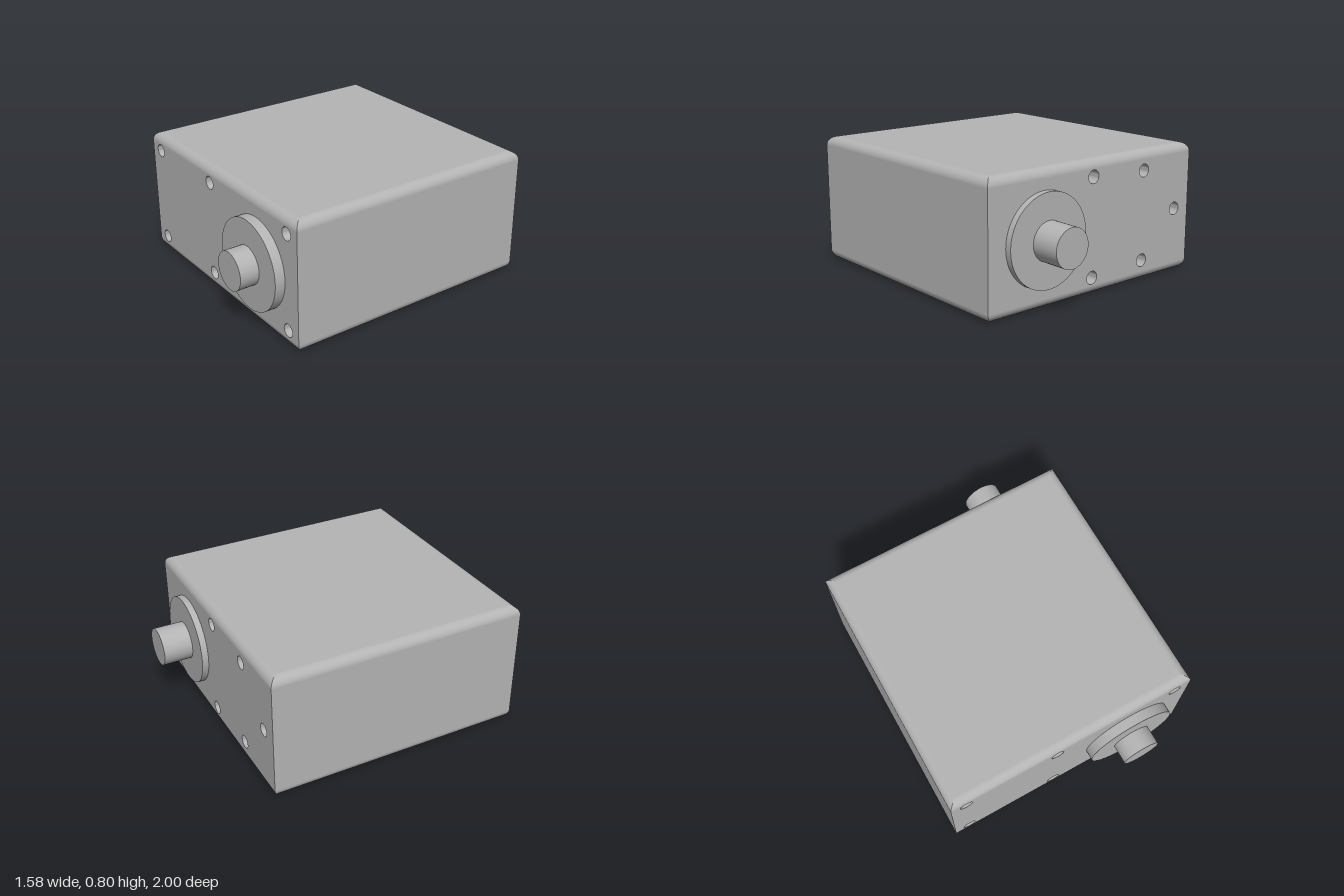
import * as THREE from 'three';
import { toCreasedNormals } from 'three/addons/utils/BufferGeometryUtils.js';

const HX = 0.792, HZ = 0.8, H = 0.797, R = 0.056; // housing half sizes, height, edge radius
const MID_Z = 0.02, HOLE_R = 0.04, HOLE_DEPTH = 0.1;
const AXIS_X = 0.395, AXIS_Y = H / 2;

// Quarter-round along one horizontal edge, mitred at both ends
function edgeRound(w, d, a0, centreY) {
  const pos = [], nor = [], idx = [], n = 10;
  for (let i = 0; i <= n; i++) {
    const a = a0 + (i / n) * Math.PI / 2, s = Math.sin(a), c = Math.cos(a);
    const inset = R * (1 - c);
    for (const side of [-1, 1]) {
      pos.push(side * (w - inset), centreY + R * s, d - inset);
      nor.push(0, s, c);
    }
    if (i < n) {
      const k = i * 2;
      idx.push(k, k + 1, k + 3, k, k + 3, k + 2);
    }
  }
  const g = new THREE.BufferGeometry();
  g.setAttribute('position', new THREE.Float32BufferAttribute(pos, 3));
  g.setAttribute('normal', new THREE.Float32BufferAttribute(nor, 3));
  g.setIndex(idx);
  return g;
}

export function createModel() {
  const metal = new THREE.MeshStandardMaterial({ color: 0xb4b4b4 });
  const model = new THREE.Group();
  model.name = 'gearbox';

  const add = (parent, name, geometry, x = 0, y = 0, z = 0) => {
    const mesh = new THREE.Mesh(geometry, metal);
    mesh.name = name;
    mesh.position.set(x, y, z);
    parent.add(mesh);
    return mesh;
  };

  // Blind bolt hole: inward-facing wall and floor
  const holeGeometry = toCreasedNormals(new THREE.LatheGeometry([
    new THREE.Vector2(HOLE_R, 0),
    new THREE.Vector2(HOLE_R, -HOLE_DEPTH),
    new THREE.Vector2(0, -HOLE_DEPTH),
  ], 32), 0.6).rotateX(Math.PI / 2);

  // One housing wall: flat panel with holes plus rounded top and bottom edges
  const housing = new THREE.Group();
  housing.name = 'housing';
  housing.position.z = MID_Z;
  model.add(housing);
  const wall = (name, w, d, turn, holes = []) => {
    const group = new THREE.Group();
    group.name = name;
    group.rotation.y = turn;
    housing.add(group);
    const shape = new THREE.Shape([
      new THREE.Vector2(-w, R), new THREE.Vector2(w, R),
      new THREE.Vector2(w, H - R), new THREE.Vector2(-w, H - R),
    ]);
    for (const [x, y] of holes) {
      shape.holes.push(new THREE.Path().absarc(x, y, HOLE_R, 0, Math.PI * 2, true));
      add(group, 'boltHole', holeGeometry, x, y, d);
    }
    add(group, 'panel', new THREE.ShapeGeometry(shape, 16), 0, 0, d);
    add(group, 'bottomEdge', edgeRound(w, d, -Math.PI / 2, R));
    add(group, 'topEdge', edgeRound(w, d, 0, H - R));
  };

  const frontHoles = [], backHoles = [[0.67, AXIS_Y]];
  for (const s of [-1, 1]) {
    for (const x of [-0.695, -0.1, 0.692]) frontHoles.push([x, AXIS_Y + s * 0.297]);
    // Back wall is turned around, so its x runs the other way
    backHoles.push([-0.025, AXIS_Y + s * 0.297], [0.39, AXIS_Y + s * 0.275]);
  }
  wall('frontWall', HX, HZ, 0, frontHoles);
  wall('backWall', HX, HZ, Math.PI, backHoles);
  wall('leftWall', HZ, HX, Math.PI / 2);
  wall('rightWall', HZ, HX, -Math.PI / 2);

  // Top and bottom panels
  const panel = new THREE.PlaneGeometry(2 * (HX - R), 2 * (HZ - R));
  add(housing, 'topPanel', panel, 0, H, 0).rotation.x = -Math.PI / 2;
  add(housing, 'bottomPanel', panel).rotation.x = Math.PI / 2;

  // Bearing flanges and shaft ends, lying along z
  const disc = (name, r, z0, z1) => add(model, name,
    new THREE.CylinderGeometry(r, r, z1 - z0, 72).rotateX(Math.PI / 2),
    AXIS_X, AXIS_Y, (z0 + z1) / 2);
  disc('frontFlange', 0.276, 0.81, 0.882);
  disc('backFlange', 0.276, -0.82, -0.77);
  disc('frontShaft', 0.117, 0.87, 1);
  disc('backShaft', 0.117, -1, -0.81);

  return model;
}
